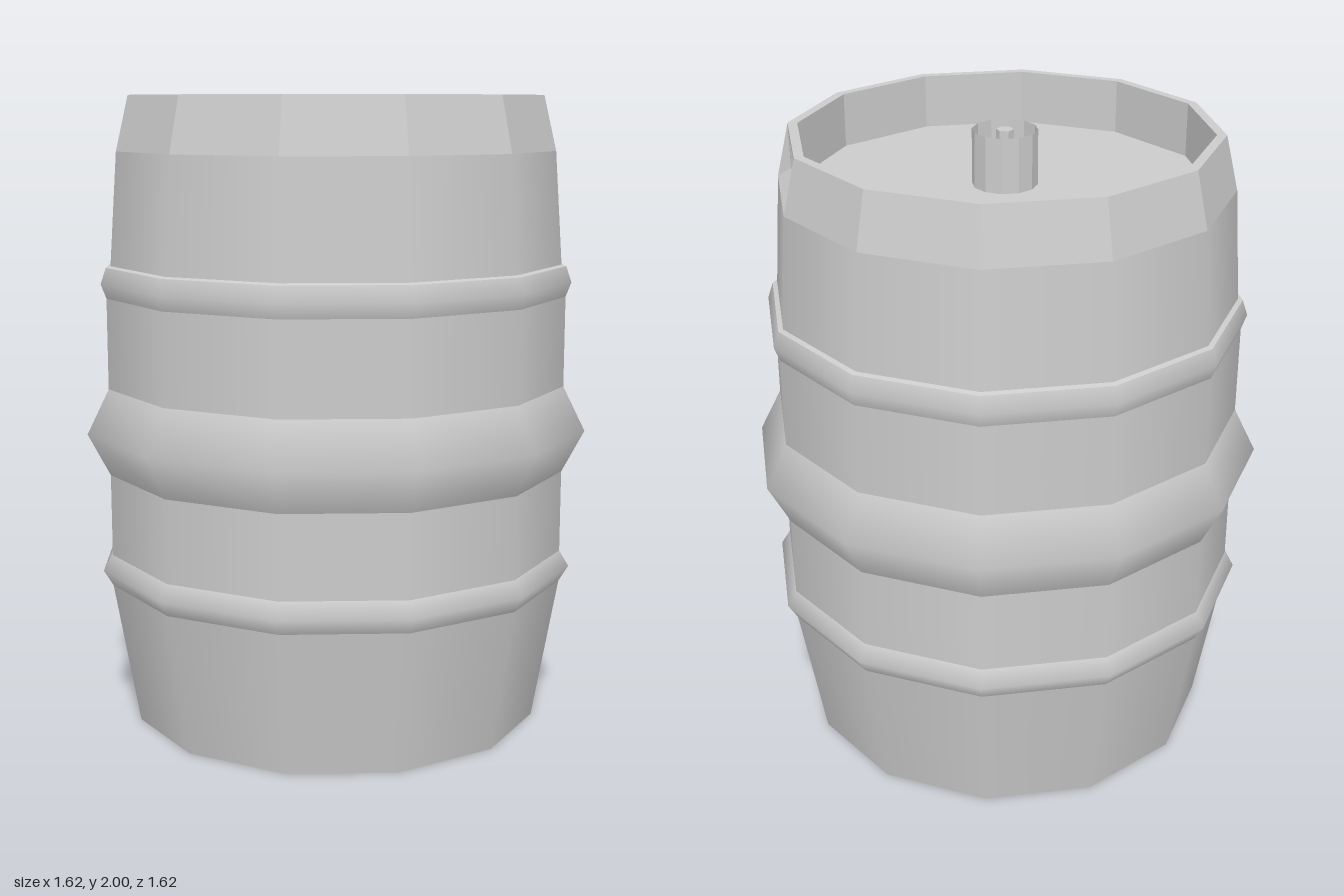
import * as THREE from 'three';

const SIDES = 12;
const LID_Y = 1.83;

export function createModel() {
  const keg = new THREE.Group();
  keg.name = 'keg';
  const smooth = new THREE.MeshStandardMaterial({ color: 0xcccccc, side: THREE.DoubleSide });
  const flat = new THREE.MeshStandardMaterial({ color: 0xcccccc, side: THREE.DoubleSide, flatShading: true });

  const add = (name, geometry, material, y = 0) => {
    const mesh = new THREE.Mesh(geometry, material);
    mesh.name = name;
    mesh.position.y = y;
    keg.add(mesh);
    return mesh;
  };

  // Body: one smooth band per section, so the edges between bands stay sharp
  const bands = {
    lowerWall: [[0.66, 0], [0.74, 0.46]],
    lowerHoop: [[0.74, 0.46], [0.77, 0.51], [0.74, 0.56]],
    lowerBelly: [[0.74, 0.56], [0.74, 0.82]],
    middleBulge: [[0.74, 0.82], [0.81, 0.955], [0.74, 1.095]],
    upperBelly: [[0.74, 1.095], [0.74, 1.38]],
    upperHoop: [[0.74, 1.38], [0.757, 1.425], [0.74, 1.475]],
    upperHoopLedge: [[0.74, 1.475], [0.725, 1.48]],
    upperWall: [[0.725, 1.48], [0.7, LID_Y]],
  };
  for (const [name, profile] of Object.entries(bands)) {
    const points = profile.map(([r, y]) => new THREE.Vector2(r, y));
    add(name, new THREE.LatheGeometry(points, SIDES), smooth);
  }

  // Bottom and lid
  add('bottom', new THREE.CircleGeometry(0.66, SIDES).rotateX(Math.PI / 2), flat);
  add('lid', new THREE.CircleGeometry(0.63, SIDES).rotateX(-Math.PI / 2), flat, LID_Y);

  // Faceted rim; one facet is cut through as a bevelled hand hole
  const positions = [];
  const quad = (a, b, c, d) => positions.push(...a, ...b, ...c, ...a, ...c, ...d);
  const corner = (k, r, y) => {
    const t = (k / SIDES) * Math.PI * 2;
    return [r * Math.sin(t), y, r * Math.cos(t)];
  };
  const HANDLE = 1;
  const hole = [
    [0.355, 1.87, 0.545], [0.545, 1.87, 0.355],
    [0.545, 1.97, 0.355], [0.355, 1.97, 0.545],
  ];
  for (let k = 0; k < SIDES; k++) {
    const outer = [corner(k, 0.7, LID_Y), corner(k + 1, 0.7, LID_Y), corner(k + 1, 0.66, 2), corner(k, 0.66, 2)];
    const inner = [corner(k, 0.63, LID_Y), corner(k + 1, 0.63, LID_Y), corner(k + 1, 0.63, 2), corner(k, 0.63, 2)];
    quad(outer[3], outer[2], inner[2], inner[3]);
    if (k !== HANDLE) {
      quad(...outer);
      quad(inner[1], inner[0], inner[3], inner[2]);
      continue;
    }
    for (let i = 0; i < 4; i++) {
      const j = (i + 1) % 4;
      quad(outer[i], outer[j], hole[j], hole[i]);
      quad(inner[j], inner[i], hole[i], hole[j]);
    }
  }
  const rim = new THREE.BufferGeometry();
  rim.setAttribute('position', new THREE.Float32BufferAttribute(positions, 3));
  rim.computeVertexNormals();
  add('rim', rim, flat);

  // Open tap collar with a valve pin inside
  add('tapCollar', new THREE.CylinderGeometry(0.1, 0.1, 0.17, 12, 1, true), flat, LID_Y + 0.085);
  add('valvePin', new THREE.CylinderGeometry(0.027, 0.027, 0.17, 6).rotateY(Math.PI / 6), flat, LID_Y + 0.085);

  return keg;
}
